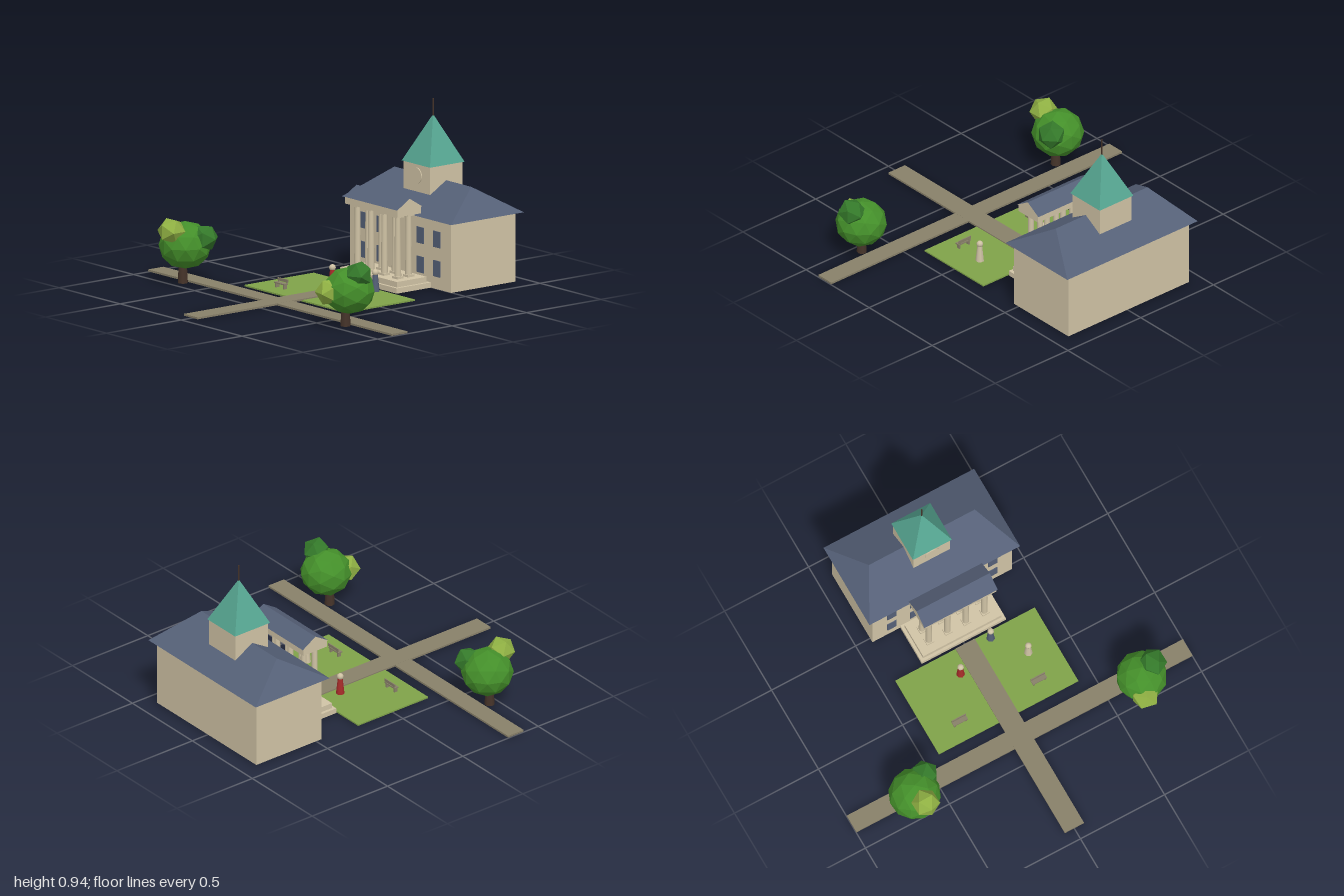
import * as THREE from 'three';

const mat = (name, color, flatShading = false) => {
  const m = new THREE.MeshStandardMaterial({ color, flatShading });
  m.name = name;
  return m;
};

// Roof on a rectangle 2*hx by 2*hz with a ridge 2*ridge long; group 0 = long slopes, group 1 = ends and underside
function roofGeometry(hx, hz, h, ridge) {
  const A = [-hx, 0, hz], B = [hx, 0, hz], C = [hx, 0, -hz], D = [-hx, 0, -hz];
  const L = [-ridge, h, 0], R = [ridge, h, 0];
  const tris = [A, B, R, A, R, L, C, D, L, C, L, R, B, C, R, D, A, L, A, D, C, A, C, B];
  const g = new THREE.BufferGeometry();
  g.setAttribute('position', new THREE.Float32BufferAttribute(tris.flat(), 3));
  g.addGroup(0, 12, 0);
  g.addGroup(12, 12, 1);
  g.computeVertexNormals();
  return g;
}

export function createModel() {
  const model = new THREE.Group();
  model.name = 'courthouseSquare';
  const cream = mat('creamStone', 0xd0c3a5);
  const slate = mat('slateBlue', 0x556077);
  const copper = mat('copperGreen', 0x56a591);
  const paving = mat('pathBrown', 0x888069);
  const grass = mat('lawnGreen', 0x7fa249);
  const bark = mat('barkBrown', 0x46342a);
  const leaf = mat('leafGreen', 0x448f2a, true);
  const darkLeaf = mat('darkLeafGreen', 0x34792a, true);
  const lime = mat('limeLeaf', 0x8fb043, true);
  const red = mat('coatRed', 0xa82c2a);

  const add = (name, geo, material, x, y, z, parent = model) => {
    const m = new THREE.Mesh(geo, material);
    m.name = name;
    m.position.set(x, y, z);
    parent.add(m);
    return m;
  };
  // Box given by its extents
  const box = (name, material, x0, x1, y0, y1, z0, z1, parent) =>
    add(name, new THREE.BoxGeometry(x1 - x0, y1 - y0, z1 - z0), material,
      (x0 + x1) / 2, (y0 + y1) / 2, (z0 + z1) / 2, parent);
  const group = (name, x = 0, y = 0, z = 0) => {
    const g = new THREE.Group();
    g.name = name;
    g.position.set(x, y, z);
    model.add(g);
    return g;
  };

  // Lawn and crossing paths
  box('lawn', grass, -0.415, 0.415, 0, 0.008, -0.23, 0.235);
  box('longPath', paving, -0.057, 0.057, 0.004, 0.014, -0.23, 0.935);
  box('crossPath', paving, -1, 1, 0.003, 0.0135, 0.3, 0.403);

  // Main building with hipped roof
  const hall = group('hall');
  box('walls', cream, -0.415, 0.415, 0.008, 0.38, -0.905, -0.473, hall);
  add('hipRoof', roofGeometry(0.448, 0.245, 0.147, 0.315), [slate, slate], 0, 0.378, -0.69, hall);
  for (const x of [-0.3, -0.165, 0.165, 0.3])
    for (const y of [0.117, 0.273])
      box('window', slate, x - 0.027, x + 0.027, y - 0.043, y + 0.043, -0.474, -0.469, hall);

  // Tower, spire and finial
  const tower = group('tower', 0, 0, -0.692);
  box('towerWalls', cream, -0.109, 0.109, 0.4, 0.61, -0.109, 0.109, tower);
  const dial = add('dial', new THREE.CylinderGeometry(0.042, 0.042, 0.006, 20), cream, 0, 0.547, 0.111, tower);
  dial.rotation.x = Math.PI / 2;
  const spire = new THREE.ConeGeometry(0.116 * Math.SQRT2, 0.25, 4).toNonIndexed();
  spire.computeVertexNormals();
  add('spire', spire, copper, 0, 0.733, 0, tower).rotation.y = Math.PI / 4;
  add('finial', new THREE.CylinderGeometry(0.004, 0.004, 0.1, 6), bark, 0, 0.892, 0, tower);

  // Portico: steps, two rows of columns, entablature and gabled roof
  const portico = group('portico', 0, 0, -0.356);
  box('lowerStep', cream, -0.25, 0.25, 0.008, 0.036, -0.117, 0.113, portico);
  box('upperStep', cream, -0.233, 0.233, 0.036, 0.065, -0.102, 0.098, portico);
  const shaft = new THREE.CylinderGeometry(0.015, 0.018, 0.34, 10);
  for (const x of [-0.165, -0.055, 0.055, 0.165])
    for (const z of [-0.036, 0.036]) {
      add('column', shaft, cream, x, 0.235, z, portico);
      box('columnBase', cream, x - 0.021, x + 0.021, 0.065, 0.077, z - 0.021, z + 0.021, portico);
      box('capital', cream, x - 0.022, x + 0.022, 0.39, 0.405, z - 0.022, z + 0.022, portico);
    }
  box('entablature', cream, -0.215, 0.215, 0.403, 0.442, -0.078, 0.078, portico);
  add('gableRoof', roofGeometry(0.218, 0.084, 0.052, 0.218), [slate, cream], 0, 0.44, 0, portico);

  // Benches facing the cross path
  for (const x of [-0.235, 0.235]) {
    const bench = group('bench', x, 0.008, 0.135);
    box('seat', paving, -0.042, 0.042, 0.022, 0.029, -0.012, 0.014, bench);
    box('backrest', paving, -0.042, 0.042, 0.034, 0.05, -0.013, -0.008, bench);
    for (const s of [-0.032, 0.032]) {
      box('benchLeg', paving, s - 0.004, s + 0.004, 0, 0.022, -0.01, 0.011, bench);
      box('backPost', paving, s - 0.003, s + 0.003, 0.028, 0.036, -0.013, -0.008, bench);
    }
  }

  // Standing figures
  for (const [x, z, coat] of [[-0.1, -0.098, red], [0.133, -0.195, slate], [0.265, -0.03, cream]]) {
    const figure = group('figure', x, 0.008, z);
    add('coat', new THREE.CylinderGeometry(0.013, 0.023, 0.09, 7), coat, 0, 0.045, 0, figure);
    add('head', new THREE.SphereGeometry(0.018, 8, 6), cream, 0, 0.1, 0, figure);
  }

  // Trees: trunk plus faceted leaf clumps [x, y, z, radius, material]
  const trees = [
    [-0.667, [[0, 0.205, -0.015, 0.138, leaf], [0.01, 0.295, 0.085, 0.076, lime],
      [0.09, 0.25, -0.07, 0.077, darkLeaf]]],
    [0.667, [[0.015, 0.195, -0.012, 0.136, leaf], [-0.02, 0.195, 0.09, 0.078, lime],
      [0.085, 0.29, -0.02, 0.076, darkLeaf]]],
  ];
  for (const [x, clumps] of trees) {
    const tree = group('tree', x, 0, 0.442);
    add('trunk', new THREE.CylinderGeometry(0.02, 0.027, 0.14, 7), bark, 0, 0.075, 0, tree);
    clumps.forEach(([cx, cy, cz, r, m], i) => {
      const clump = add('foliage', new THREE.IcosahedronGeometry(r, i ? 0 : 1), m, cx, cy, cz, tree);
      clump.scale.y = i ? 0.95 : 0.92;
      clump.rotation.y = 0.7 * i + x;
    });
  }
  return model;
}
